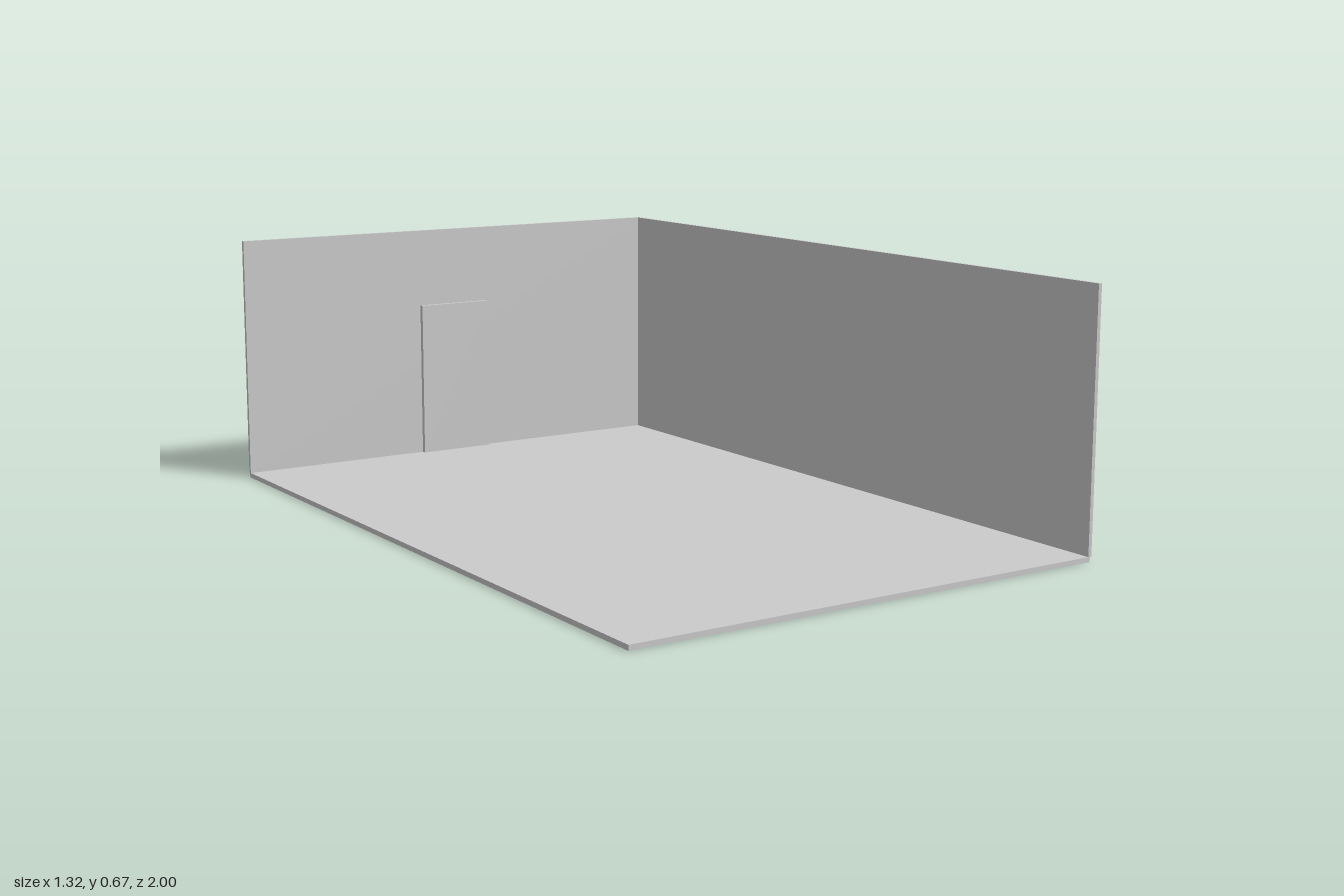
import * as THREE from 'three';

export function createModel() {
  const model = new THREE.Group();
  const material = new THREE.MeshStandardMaterial({ color: 0xcccccc });

  // Box given by its [min, max] range on each axis
  function slab(name, [x0, x1], [y0, y1], [z0, z1]) {
    const mesh = new THREE.Mesh(new THREE.BoxGeometry(x1 - x0, y1 - y0, z1 - z0), material);
    mesh.position.set((x0 + x1) / 2, (y0 + y1) / 2, (z0 + z1) / 2);
    mesh.name = name;
    model.add(mesh);
  }

  const floorTop = 0.013, wallTop = 0.672;

  // Floor, set in slightly beneath the outer wall faces
  slab('floor', [-0.66, 0.655], [0, floorTop], [-0.978, 1]);

  // Two walls meeting at the back corner
  slab('backWall', [-0.66, 0.65], [floorTop, wallTop], [-0.983, -0.973]);
  slab('sideWall', [0.65, 0.66], [floorTop, wallTop], [-0.983, 1]);

  // Door, standing proud of both faces of the back wall
  slab('door', [-0.113, 0.105], [floorTop, 0.452], [-1, -0.96]);

  return model;
}
